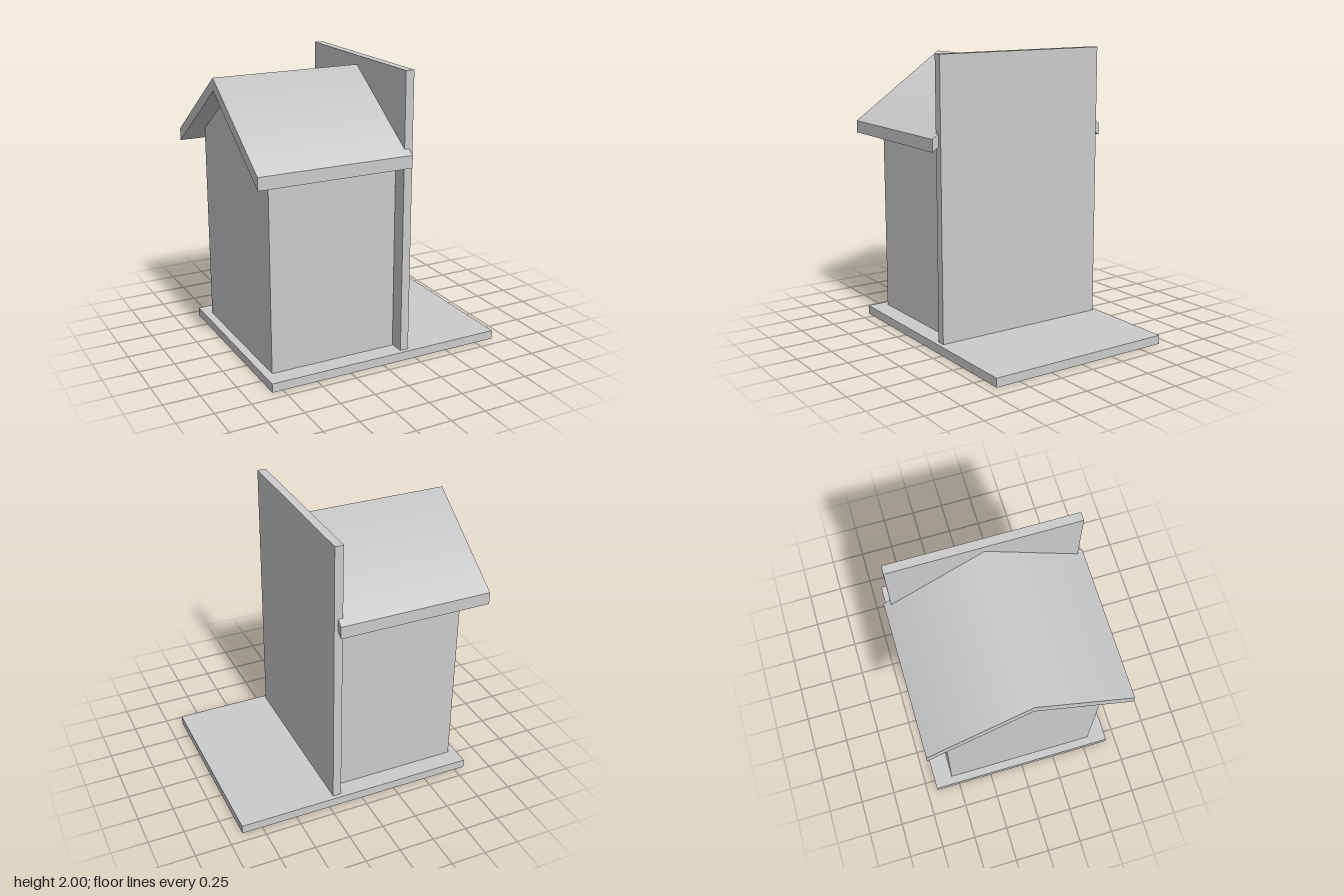
import * as THREE from 'three';

const material = new THREE.MeshStandardMaterial({ color: 0xcccccc, side: THREE.DoubleSide });

// Remove the underside, leaving a thin shell open at the bottom
function openBottom(geometry) {
  const geo = geometry.index ? geometry.toNonIndexed() : geometry;
  geo.computeBoundingBox();
  const floor = geo.boundingBox.min.y + 1e-4;
  const pos = geo.attributes.position;
  const keep = [];
  for (let i = 0; i < pos.count; i += 3) {
    const flat = [0, 1, 2].every((k) => pos.getY(i + k) < floor);
    if (!flat) keep.push(i, i + 1, i + 2);
  }
  geo.clearGroups();
  geo.setIndex(keep);
  return geo;
}

// Box given by its limits on each axis
function slab(x0, x1, y0, y1, halfZ) {
  const geo = new THREE.BoxGeometry(x1 - x0, y1 - y0, halfZ * 2);
  return geo.translate((x0 + x1) / 2, (y0 + y1) / 2, 0);
}

// Profile of [z, y] points swept along x
function sweep(points, x0, x1) {
  const shape = new THREE.Shape(points.map(([z, y]) => new THREE.Vector2(z, y)));
  const geo = new THREE.ExtrudeGeometry(shape, { depth: x1 - x0, bevelEnabled: false });
  return geo.rotateY(Math.PI / 2).translate(x0, 0, 0);
}

// Shade the two slopes smoothly across the ridge
function smoothRidge(geo) {
  const pos = geo.attributes.position;
  const nor = geo.attributes.normal;
  for (let i = 0; i < pos.count; i++) {
    const onSlope = Math.abs(nor.getX(i)) < 0.5;
    if (onSlope && Math.abs(pos.getZ(i)) < 1e-4) nor.setXYZ(i, 0, Math.sign(nor.getY(i)), 0);
  }
  return geo;
}

export function createModel() {
  const model = new THREE.Group();
  model.name = 'gabledHouse';
  const add = (name, geometry) => {
    const mesh = new THREE.Mesh(geometry, material);
    mesh.name = name;
    model.add(mesh);
  };

  // Ground plate and tall dividing wall
  add('basePlate', openBottom(slab(-0.825, 0.895, 0, 0.062, 0.676)));
  add('tallWall', openBottom(slab(0.15, 0.21, 0.03, 2, 0.645)));

  // House body with gable ends tucked into the roof
  const body = [[-0.545, 0.03], [0.545, 0.03], [0.545, 1.5], [0, 1.88], [-0.545, 1.5]];
  add('houseBody', openBottom(sweep(body, -0.767, 0.145)));

  // Pitched roof with vertically cut eaves
  const roof = [[-0.692, 1.37], [0, 1.85], [0.692, 1.37], [0.692, 1.456], [0, 1.937], [-0.692, 1.456]];
  add('roof', smoothRidge(sweep(roof, -0.898, 0.184)));

  return model;
}
